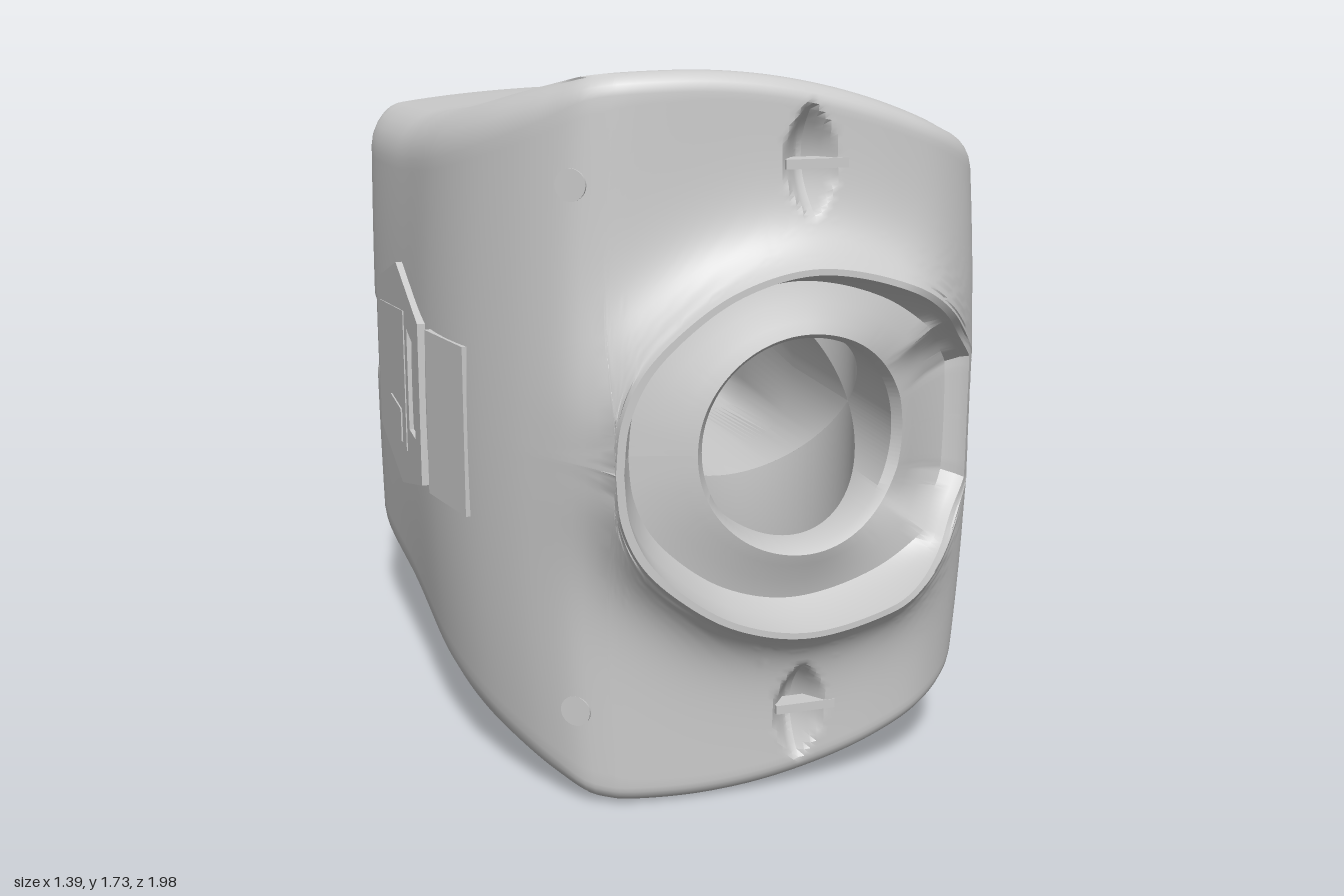
import * as THREE from 'three';
import { toCreasedNormals } from 'three/addons/utils/BufferGeometryUtils.js';

const V = (x, y, z) => new THREE.Vector3(x, y, z);
const { clamp, lerp, smoothstep } = THREE.MathUtils;
const C = 0.867;                       // mid height: the shell mirrors about it
const BX = 0.11, BZ = 0.53, BR = 0.252; // crossing bores: axis and radius
const HALF = 0.258;                    // half height of the back opening

// Grid surface through columns of points; mirror flips it about mid height
function loft(cols, closed, mirror) {
  const pos = [], n = cols.length, rows = cols[0].length;
  const put = (a, b, c) => {
    if (a.distanceTo(b) < 1e-6 || b.distanceTo(c) < 1e-6 || a.distanceTo(c) < 1e-6) return;
    for (const p of mirror ? [a, c, b] : [a, b, c]) pos.push(p.x, mirror ? 2 * C - p.y : p.y, p.z);
  };
  for (let i = 0; i < (closed ? n : n - 1); i++) {
    const a = cols[i], b = cols[(i + 1) % n];
    for (let j = 0; j < rows - 1; j++) {
      put(a[j], a[j + 1], b[j]);
      put(b[j], a[j + 1], b[j + 1]);
    }
  }
  const g = new THREE.BufferGeometry();
  g.setAttribute('position', new THREE.Float32BufferAttribute(pos, 3));
  return toCreasedNormals(g, 0.6);
}

// Plan outline: each point is (x, lower edge of the upper half wall, z)
const curve = (list, n) => new THREE.CatmullRomCurve3(list.map(p => V(...p)), false, 'centripetal').getSpacedPoints(n);
const front = curve([[-0.38, C, 0.855], [-0.368, 0.98, 0.858], [-0.325, 1.08, 0.865], [-0.24, 1.17, 0.872],
  [-0.1, 1.26, 0.877], [0.09, 1.302, 0.88], [0.33, 1.25, 0.873], [0.47, 1.165, 0.84], [0.585, 1.05, 0.755],
  [0.63, 0.985, 0.66], [0.66, 0.93, 0.52], [0.672, C, 0.4]], 110);
const side = curve([[0.672, C, 0.4], [0.69, C, 0.23], [0.67, C, 0], [0.655, C, -0.27], [0.63, C, -0.45],
  [0.605, C, -0.58], [0.59, C, -0.615], [0.43, C, -0.755]], 70);
const opening = curve([[0.43, C + HALF - 0.05, -0.755], [0.4, C + HALF, -0.78], [0.21, C + HALF, -0.95],
  [0.16, C + HALF, -0.985], [0.11, C + HALF, -0.997], [0.05, C + HALF, -0.99], [-0.145, C + HALF, -0.938]], 28);
const left = curve([[-0.145, C, -0.938], [-0.5, C, -0.84], [-0.61, C, -0.78], [-0.66, C, -0.7], [-0.68, C, -0.58],
  [-0.685, C, 0], [-0.675, C, 0.32], [-0.64, C, 0.5], [-0.585, C, 0.64], [-0.52, C, 0.75], [-0.45, C, 0.825],
  [-0.38, C, 0.855]], 90);
const outline = [...front, ...side.slice(1), ...opening, ...left.slice(0, -1)];

// Height of the top surface, rising toward the front
function topY(x, z) {
  const back = 1.6 - 0.04 * Math.max(0, -z) - 0.1 * x * x;
  const crest = 1.74 - (x > -0.2 ? 0.35 : 0.1) * (x + 0.2) ** 2;
  return lerp(back, crest, clamp((z + 0.2) / 1.07, 0, 1) ** 1.5);
}
// Sides lean in toward top and bottom, except at the back facets
const bulge = (y, z) => 1 - 0.065 * smoothstep(z, -1, 0) * ((y - C) / 0.75) ** 2;
const rimLift = p => lerp(0.985 - p.z, 0.005, smoothstep(p.x, 0.3, 0.58));

// Depth of the body front at a given x
function bodyZ(x) {
  const i = clamp(front.findIndex(p => p.x >= x), 1, front.length - 1);
  const a = front[i - 1], b = front[i];
  return lerp(a.z, b.z, clamp((x - a.x) / (b.x - a.x), 0, 1));
}

// Depth of the recesses: side band, three windows, front slots
function dent(x, y, z) {
  const box = (dz, hz, hy, soft) => clamp((1 - Math.max(Math.abs(dz) / hz, Math.abs(y - C) / hy)) / soft, 0, 1);
  let d = 0;
  if (x > 0.5) d = Math.max(0.012 * box(z + 0.1, 0.48, 0.1, 0.05),
    0.05 * box(z - 0.22, 0.12, 0.078, 0.4), 0.05 * box(z + 0.38, 0.12, 0.078, 0.4));
  if (x < -0.5) d = 0.05 * box(z + 0.64, 0.08, 0.11, 0.4);
  if (z > 0.7) d = Math.max(d, 0.085 * clamp(1 - Math.abs(x - BX) / 0.07 - ((y - 1.53) / 0.135) ** 2, 0, 1));
  return d;
}

// Wall point: tapered side, flared to the front rim, with recesses
function wallPoint(p, n, y) {
  let lift = 0;
  if (p.z > 0.3) {
    let best = 9, near = front[0];
    for (const f of front) {
      const d = Math.hypot(f.x - p.x, f.y - y, f.z - p.z);
      if (d < best) { best = d; near = f; }
    }
    lift = rimLift(near) * Math.exp(-best / 0.065);
  }
  const d = dent(p.x, y, p.z);
  return V(p.x * bulge(y, p.z) - n.x * d, y, p.z + lift - n.z * d);
}

// Outward normal of the outline, averaged over a short stretch
function outlineNormal(i) {
  const N = outline.length, sum = V(0, 0, 0), p = outline[i];
  for (let k = 0; k < N; k++) {
    const a = outline[k], b = outline[(k + 1) % N];
    const w = Math.max(0, 1 - Math.hypot((a.x + b.x) / 2 - p.x, (a.z + b.z) / 2 - p.z) / 0.09);
    sum.x -= (b.z - a.z) * w;
    sum.z += (b.x - a.x) * w;
  }
  return sum.normalize();
}

// One column of skin: vertical bore, top, rounded edge, wall
function skinColumn(i) {
  const p = outline[i], n = outlineNormal(i), r = 0.045 + 0.085 * n.x ** 4;
  const q = V(p.x * bulge(1.5, p.z) - n.x * r, 0, p.z - n.z * r);
  q.y = topY(q.x, q.z);
  const a = Math.atan2(q.z - 0.5, q.x - 0.1);
  const h = V(0.09 + 0.285 * Math.cos(a), 0, 0.485 + 0.285 * Math.sin(a));
  const b = V(BX + BR * Math.cos(a), 0, BZ + BR * Math.sin(a));
  const hy = topY(h.x, h.z);
  const col = [V(b.x, C + Math.abs(b.z - BZ), b.z), V(b.x, hy - 0.16, b.z), V(h.x, hy - 0.015, h.z)];
  for (let k = 0; k <= 7; k++) {
    const x = lerp(h.x, q.x, k / 7), z = lerp(h.z, q.z, k / 7);
    col.push(V(x, topY(x, z), z));
  }
  for (let k = 1; k <= 5; k++) {
    const f = k / 6 * Math.PI / 2, y = q.y - r * (1 - Math.cos(f));
    const s = r * (1 - Math.sin(f));
    col.push(V(p.x * bulge(y, p.z) - n.x * s, y, p.z - n.z * s));
  }
  for (let k = 0; k <= 36; k++) {
    const u = 1 - (1 - k / 36) ** 1.5;
    col.push(wallPoint(p, n, lerp(q.y - r, p.y, u)));
  }
  return col;
}

// Front bowl: rim, inner lip, dish, collar, then the bore to the crossing;
// toward the left tip the lip stays short of the rim and follows the body
function bowlColumn(rim) {
  const a = Math.atan2(Math.max(0, rim.y - C), rim.x - BX);
  const c = Math.cos(a), s = Math.sin(a);
  const at = (k, z) => V(lerp(rim.x, BX + BR * c, k), lerp(rim.y, C + BR * s, k), z);
  const tip = smoothstep(rim.x, 0.48, 0.62);
  const k0 = rim.x > 0.56 ? Math.max(0.08, (rim.x - 0.58) / (rim.x - BX - BR * c)) : 0.08;
  const follow = k => {
    const p = at(k, 0);
    return at(k, lerp(rim.z, bodyZ(p.x), tip));
  };
  const lip = follow(k0), collar = 0.89 - 0.07 * Math.max(0, c) ** 2;
  const floor = Math.min(0.85, lip.z - 0.03);
  const dish = (t, z) => at(lerp(k0, 1, t), z);
  return [rim, ...[0.2, 0.4, 0.6, 0.8].map(t => follow(k0 * t)), lip,
    dish(0.07, lerp(lip.z, floor, 0.6)), dish(0.22, floor),
    dish(0.5, lerp(floor, collar, 0.3)), dish(0.75, lerp(floor, collar, 0.75)), dish(0.92, collar),
    dish(1, collar - 0.025), V(BX + BR * c, C + BR * s, BZ + BR * s)];
}

// Back tunnel: square mouth turning into the round bore
function tunnelColumns() {
  const first = opening[0], last = opening[opening.length - 1], mouth = [];
  for (let k = 0; k < 8; k++) mouth.push(V(first.x, lerp(C, first.y, k / 8), first.z));
  mouth.push(...opening);
  for (let k = 7; k >= 0; k--) mouth.push(V(last.x, lerp(C, last.y, k / 8), last.z));
  return mouth.map(m => {
    const a = Math.atan2(m.y - C, m.x - BX), c = BR * Math.cos(a), s = BR * Math.sin(a);
    return [m, V(m.x, m.y, -0.45), V(BX + c, C + s, 0.15), V(BX + c, C + s, BZ - s)];
  });
}

export function createModel() {
  const group = new THREE.Group();
  const mat = new THREE.MeshStandardMaterial({ color: 0xcccccc, side: THREE.DoubleSide });
  const add = (name, geo) => {
    const m = new THREE.Mesh(geo, mat);
    m.name = name;
    group.add(m);
    return m;
  };

  // Shell halves with their bowl and tunnel
  const skin = outline.map((_, i) => skinColumn(i));
  const bowl = front.map((_, i) => bowlColumn(skin[i][skin[i].length - 1]));
  const tunnel = tunnelColumns();
  for (const mirror of [false, true]) {
    const part = mirror ? 'lower' : 'upper';
    add(part + 'Shell', loft(skin, true, mirror));
    add(part + 'FrontBowl', loft(bowl, false, mirror));
    add(part + 'BackTunnel', loft(tunnel, false, mirror));
  }

  // Bars across the front slots and round plugs beside them
  for (const s of [-1, 1]) {
    add('slotBar', new THREE.BoxGeometry(0.15, 0.022, 0.05)).position.set(BX + 0.01, C + s * 0.655, 0.86);
    const plug = add('frontPlug', new THREE.CylinderGeometry(0.037, 0.037, 0.02, 24));
    plug.rotation.set(Math.PI / 2, 0, 0.65);
    plug.position.set(-0.43, C + s * 0.62, 0.815);
  }

  // Hatch on the right side, with a raised panel and a slotted handle
  const plate = (name, pts, depth, x, hole = []) => {
    const shape = new THREE.Shape(pts.map(p => new THREE.Vector2(...p)));
    if (hole.length) shape.holes.push(new THREE.Path(hole.map(p => new THREE.Vector2(...p))));
    const m = add(name, new THREE.ExtrudeGeometry(shape, { depth, bevelEnabled: false }));
    m.rotation.y = -Math.PI / 2;
    m.position.x = x;
  };
  plate('hatch', [[-0.43, 0.64], [-0.05, 0.57], [0.28, 0.66], [0.28, 1.08], [-0.05, 1.18], [-0.43, 1.07]], 0.04, -0.655,
    [[0.1, 0.76], [0.1, 1.03], [0.2, 1.01], [0.2, 0.76]]);
  plate('hatchPanel', [[-0.36, 0.69], [0.06, 0.69], [0.06, 1.07], [-0.36, 1.02]], 0.01, -0.688);
  plate('hatchLatch', [[-0.22, 0.7], [0.0, 0.7], [0.0, 0.79], [-0.18, 0.79]], 0.008, -0.694);

  // Speaker plate on the curved front right corner
  const grille = add('speakerPlate', new THREE.BoxGeometry(0.02, 0.42, 0.22));
  grille.position.set(-0.65, C, 0.44);
  grille.rotation.y = 0.24;
  return group;
}
